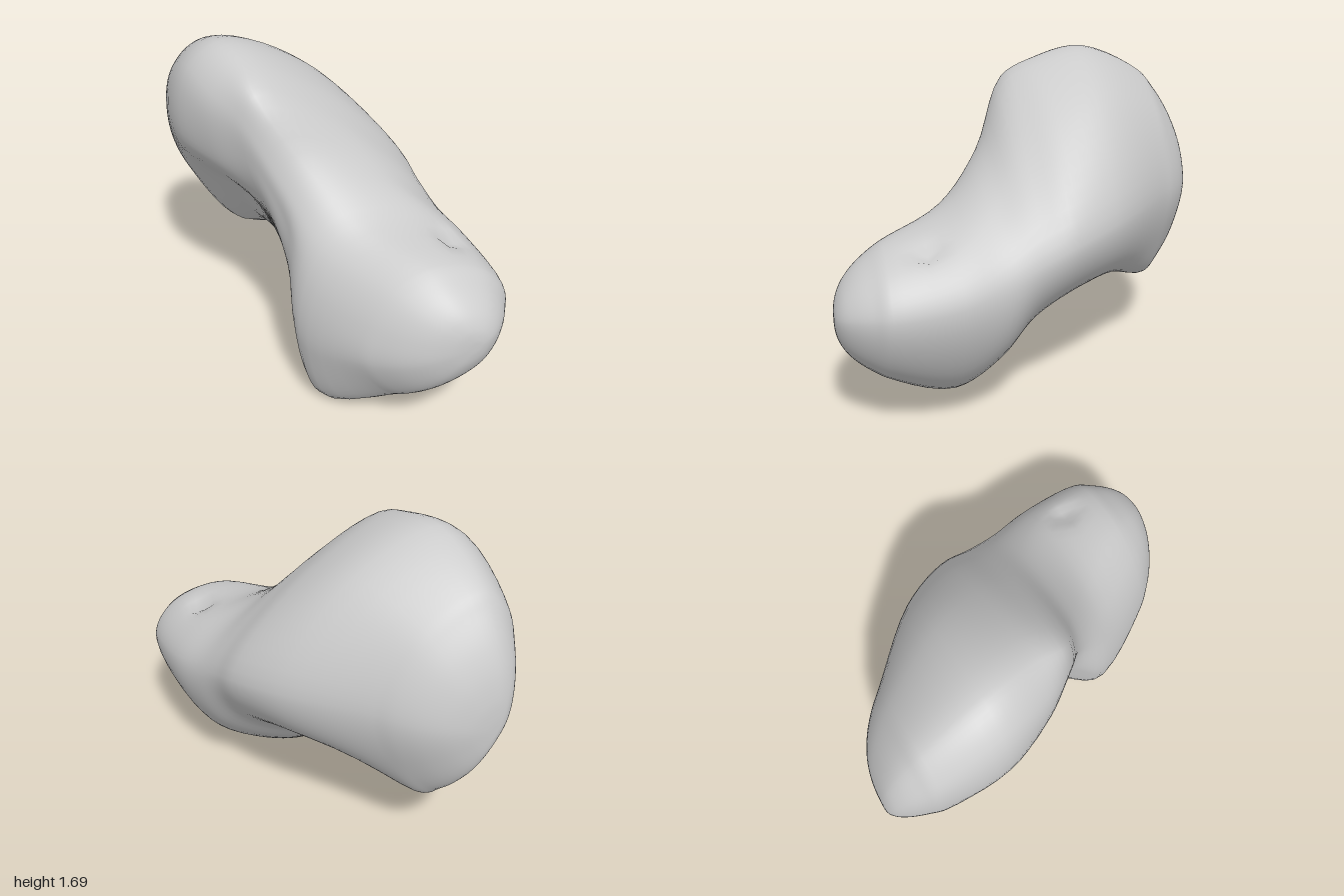
import * as THREE from 'three';
import { mergeVertices } from 'three/addons/utils/BufferGeometryUtils.js';

const AROUND = 64;
const STEPS = 5; // rows between two neighbouring rings

// Guide sections from back to front: z, then x,y pairs clockwise from the top.
const SECTIONS = [
  [-0.75, -0.46, 1.54, -0.13, 1.37, 0.05, 1.0, -0.04, 0.68, -0.25, 0.43, -0.55, 0.82, -0.64, 1.1, -0.61, 1.4],
  [-0.42, -0.42, 1.69, 0.05, 1.48, 0.37, 0.98, 0.24, 0.69, -0.11, 0.54, -0.48, 0.93, -0.65, 1.18, -0.61, 1.55],
  [-0.15, -0.37, 1.65, 0.15, 1.39, 0.51, 0.92, 0.36, 0.63, -0.05, 0.49, -0.35, 0.92, -0.53, 1.17, -0.54, 1.49],
  [0.03, -0.36, 1.56, 0.15, 1.3, 0.54, 0.85, 0.4, 0.54, -0.08, 0.35, -0.28, 0.83, -0.41, 1.2, -0.43, 1.43],
  [0.2, -0.17, 1.24, 0.28, 1.1, 0.58, 0.78, 0.46, 0.39, -0.08, 0.16, -0.26, 0.65, -0.28, 0.95, -0.27, 1.13],
  [0.42, 0.02, 1.02, 0.45, 0.95, 0.64, 0.71, 0.43, 0.23, -0.15, 0.01, -0.28, 0.37, -0.25, 0.72, -0.15, 0.92],
  [0.75, 0.25, 0.93, 0.53, 0.86, 0.65, 0.68, 0.5, 0.35, 0.1, 0.21, -0.09, 0.44, -0.06, 0.66, 0.06, 0.84],
];

// Smooth closed ring through one section.
function ring([z, ...xy]) {
  const points = [];
  for (let i = 0; i < xy.length; i += 2) points.push(new THREE.Vector3(xy[i], xy[i + 1], z));
  const curve = new THREE.CatmullRomCurve3(points, true, 'centripetal');
  return Array.from({ length: AROUND }, (_, i) => curve.getPoint(i / AROUND));
}

// Rounded end: copies of a ring that shrink towards the tip.
function dome(base, tip) {
  return [0.86, 0.68, 0.48, 0.28, 0.12, 0].map((scale) => {
    const t = 1 - scale ** 2.4;
    return base.map((p) => new THREE.Vector3(
      tip.x + (p.x - tip.x) * scale,
      tip.y + (p.y - tip.y) * scale,
      p.z + (tip.z - p.z) * t,
    ));
  });
}

// Small pit on top of the front lobe.
function addPit(p) {
  if (p.y < 0.7) return;
  const d2 = (p.x - 0.43) ** 2 + (p.z - 0.56) ** 2;
  p.y -= 0.05 * Math.exp(-d2 / 0.003);
}

function loftGeometry() {
  const middle = SECTIONS.map(ring);
  const back = dome(middle[0], new THREE.Vector3(-0.45, 0.93, -1)).reverse();
  const front = dome(middle[middle.length - 1], new THREE.Vector3(0.39, 0.62, 1));
  const rings = [...back, ...middle, ...front];
  const rows = (rings.length - 1) * STEPS;
  const positions = [];
  const index = [];
  const at = (row, col) => (col % AROUND) * (rows + 1) + row;

  // Each column runs smoothly from the back tip to the front tip.
  for (let c = 0; c < AROUND; c++) {
    const curve = new THREE.CatmullRomCurve3(rings.map((r) => r[c]), false, 'centripetal');
    for (let r = 0; r <= rows; r++) {
      const p = curve.getPoint(r / rows);
      addPit(p);
      positions.push(p.x, p.y, p.z);
    }
  }
  // At the two tips each strip closes with a single triangle.
  for (let c = 0; c < AROUND; c++) {
    for (let r = 0; r < rows; r++) {
      const a = at(r, c), b = at(r + 1, c), d = at(r, c + 1), e = at(r + 1, c + 1);
      if (r > 0) index.push(a, b, d);
      if (r < rows - 1) index.push(b, e, d);
    }
  }
  const geometry = new THREE.BufferGeometry();
  geometry.setAttribute('position', new THREE.Float32BufferAttribute(positions, 3));
  geometry.setIndex(index);
  const merged = mergeVertices(geometry, 1e-5);
  merged.computeVertexNormals();
  return merged;
}

export function createModel() {
  const group = new THREE.Group();
  group.name = 'organicForm';
  const body = new THREE.Mesh(loftGeometry(), new THREE.MeshStandardMaterial({ color: 0xcccccc }));
  body.name = 'body';
  group.add(body);
  return group;
}
